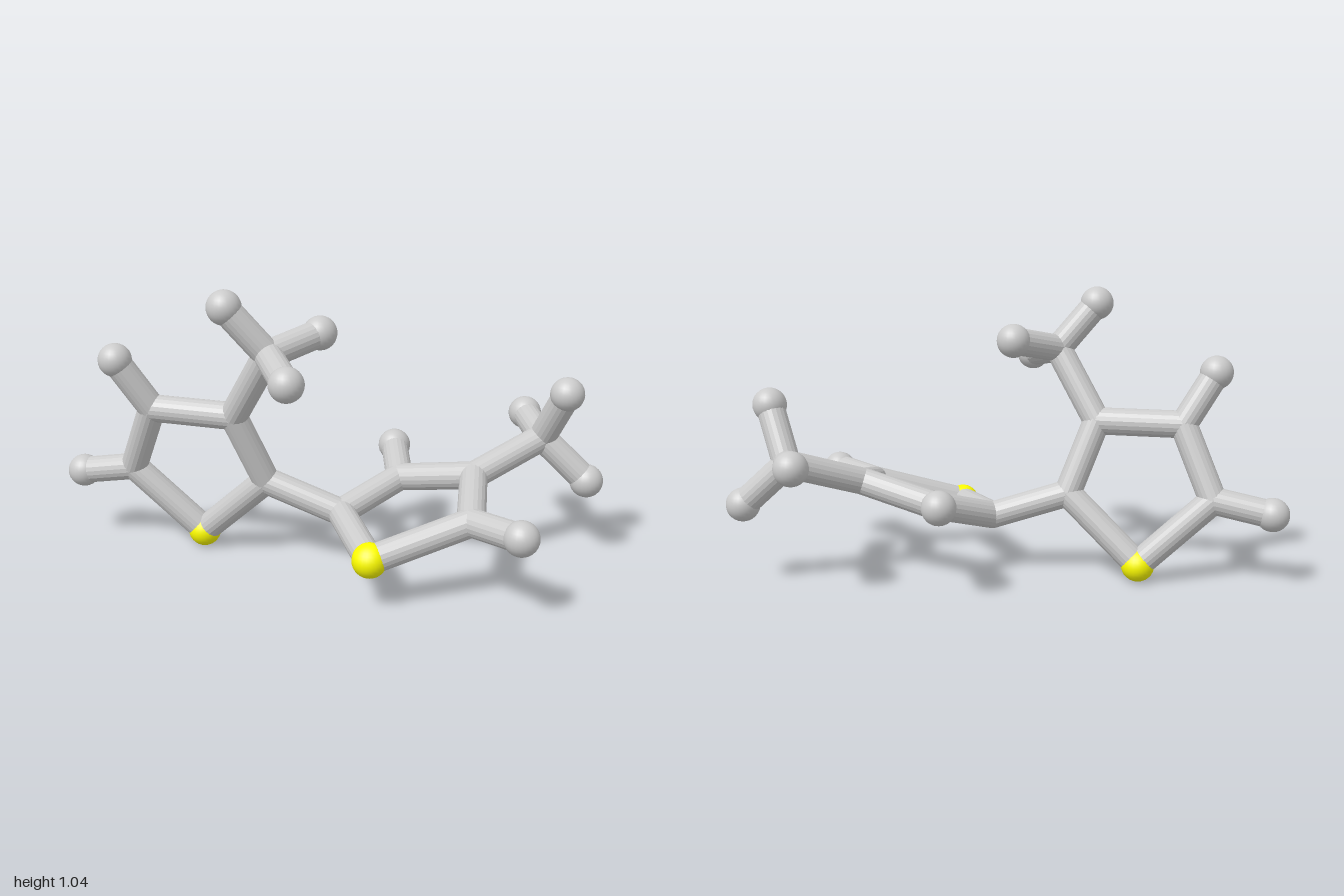
import * as THREE from 'three';

const BALL_R = 0.061; // end balls and yellow corner balls
const ROD_R = 0.05;   // rods and the rounded joints between them

const yellow = new THREE.MeshStandardMaterial({ color: 0xffff00 });
const grey = new THREE.MeshStandardMaterial({ color: 0xcccccc });
const rodGrey = new THREE.MeshStandardMaterial({ color: 0xcccccc, flatShading: true });

const ballGeo = new THREE.SphereGeometry(BALL_R, 24, 16);
const jointGeo = new THREE.SphereGeometry(ROD_R, 20, 14);

// Each half: a five-sided ring with a three-armed branch.
const halves = [
  {
    name: 'uprightHalf',
    atoms: {
      sulfur: [-0.466, 0.062, -0.01],
      linkCarbon: [-0.205, 0.305, 0.06],
      branchCarbon: [-0.305, 0.565, 0.125],
      upperCarbon: [-0.62, 0.565, 0.09],
      lowerCarbon: [-0.73, 0.305, 0.01],
      methylCarbon: [-0.155, 0.82, 0.21],
      hydrogenUpper: [-0.735, 0.75, 0.135],
      hydrogenLower: [-0.94, 0.265, -0.015],
      hydrogenMethyl1: [-0.295, 0.985, 0.245],
      hydrogenMethyl2: [-0.006, 0.865, 0.05],
      hydrogenMethyl3: [-0.044, 0.775, 0.405],
    },
  },
  {
    name: 'flatHalf',
    atoms: {
      sulfur: [0.236, 0.178, 0.4],
      linkCarbon: [0.075, 0.21, 0.075],
      branchCarbon: [0.54, 0.35, -0.025],
      upperCarbon: [0.26, 0.29, -0.115],
      lowerCarbon: [0.56, 0.287, 0.265],
      methylCarbon: [0.77, 0.45, -0.205],
      hydrogenUpper: [0.207, 0.34, -0.333],
      hydrogenLower: [0.735, 0.3, 0.4],
      hydrogenMethyl1: [0.852, 0.645, -0.115],
      hydrogenMethyl2: [0.938, 0.296, -0.197],
      hydrogenMethyl3: [0.696, 0.48, -0.405],
    },
  },
];

// Rods shared by both halves; the ring order differs at the branch.
const sideRods = [
  ['branchCarbon', 'methylCarbon'],
  ['upperCarbon', 'hydrogenUpper'],
  ['lowerCarbon', 'hydrogenLower'],
  ['methylCarbon', 'hydrogenMethyl1'],
  ['methylCarbon', 'hydrogenMethyl2'],
  ['methylCarbon', 'hydrogenMethyl3'],
];
const rings = {
  uprightHalf: ['sulfur', 'linkCarbon', 'branchCarbon', 'upperCarbon', 'lowerCarbon'],
  flatHalf: ['sulfur', 'linkCarbon', 'upperCarbon', 'branchCarbon', 'lowerCarbon'],
};

// Straight rod between two points
function rod(a, b, name) {
  const start = new THREE.Vector3(...a);
  const dir = new THREE.Vector3(...b).sub(start);
  const mesh = new THREE.Mesh(new THREE.CylinderGeometry(ROD_R, ROD_R, dir.length(), 20), rodGrey);
  mesh.position.copy(start).addScaledVector(dir, 0.5);
  mesh.quaternion.setFromUnitVectors(new THREE.Vector3(0, 1, 0), dir.normalize());
  mesh.name = name;
  return mesh;
}

// Ball or joint for one atom
function atom(name, position) {
  const isJoint = name.endsWith('Carbon');
  const mesh = new THREE.Mesh(isJoint ? jointGeo : ballGeo, name === 'sulfur' ? yellow : grey);
  mesh.position.set(...position);
  mesh.name = name;
  return mesh;
}

export function createModel() {
  const model = new THREE.Group();
  model.name = 'molecule';

  for (const { name, atoms } of halves) {
    const half = new THREE.Group();
    half.name = name;
    for (const [atomName, position] of Object.entries(atoms)) half.add(atom(atomName, position));

    // Closed ring, then the side rods
    const ring = rings[name];
    ring.forEach((from, i) => half.add(rod(atoms[from], atoms[ring[(i + 1) % ring.length]], 'ringBond')));
    for (const [from, to] of sideRods) half.add(rod(atoms[from], atoms[to], 'sideBond'));
    model.add(half);
  }

  // Rod joining the two rings
  model.add(rod(halves[0].atoms.linkCarbon, halves[1].atoms.linkCarbon, 'linkBond'));
  return model;
}
